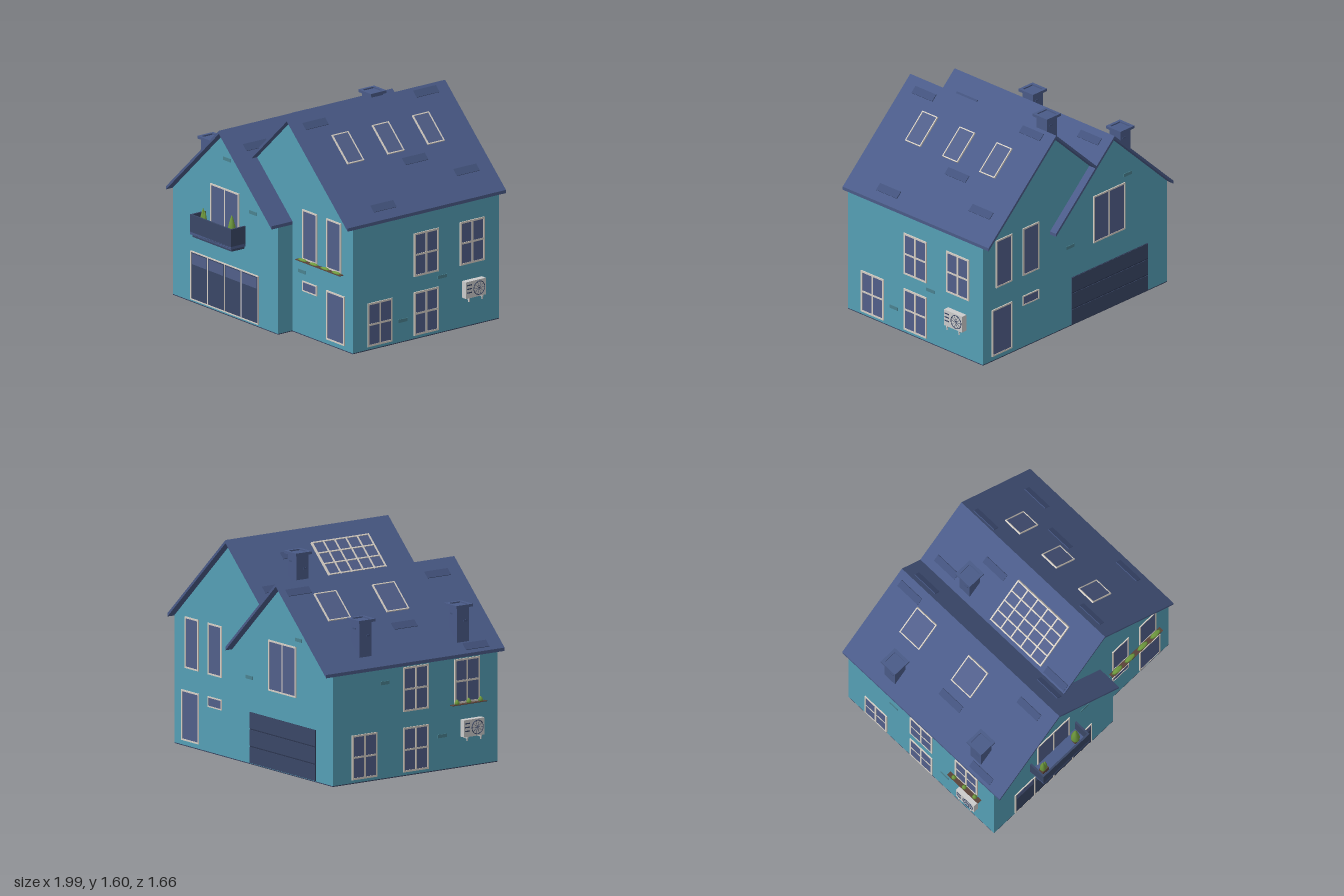
import * as THREE from 'three';

const mat = (color) => new THREE.MeshStandardMaterial({ color });
const M = {
  wall: mat(0x559fb5), brick: mat(0x4a8290), roof: mat(0x4a5b88), tile: mat(0x42527c), dark: mat(0x3a4766),
  glass: mat(0x515f8a), frame: mat(0xd6cfc6), grey: mat(0xcccccc), groove: mat(0x2b3550),
  soil: mat(0x5a4238), leaf: mat(0x6f9a3e), base: mat(0x353f5c),
};
const V = (x, y, z) => new THREE.Vector3(x, y, z);

// Facings: n points outwards, u points to the right when looking at the surface
const FRONT = { n: V(0, 0, 1), u: V(1, 0, 0) };
const BACK = { n: V(0, 0, -1), u: V(-1, 0, 0) };
const RIGHT = { n: V(1, 0, 0), u: V(0, 0, -1) };
const LEFT = { n: V(-1, 0, 0), u: V(0, 0, 1) };

function place(obj, face, x, y, z) {
  const v = face.n.clone().cross(face.u);
  obj.quaternion.setFromRotationMatrix(new THREE.Matrix4().makeBasis(face.u, v, face.n));
  obj.position.set(x, y, z);
  return obj;
}
function group(name, ...children) {
  const g = new THREE.Group();
  g.name = name;
  if (children.length) g.add(...children);
  return g;
}
function mesh(name, geo, material, x = 0, y = 0, z = 0) {
  const m = new THREE.Mesh(geo, material);
  m.name = name;
  m.position.set(x, y, z);
  return m;
}
const box = (name, material, w, h, d, x = 0, y = 0, z = 0) =>
  mesh(name, new THREE.BoxGeometry(w, h, d), material, x, y, z);
function prism(name, points, z0, z1, material) {
  const shape = new THREE.Shape(points.map((p) => new THREE.Vector2(...p)));
  return mesh(name, new THREE.ExtrudeGeometry(shape, { depth: z1 - z0, bevelEnabled: false }), material, 0, 0, z0);
}

// Framed pane divided by bars; centred, facing +z
function windowPane(name, w, h, cols = 1, rows = 1, t = 0.012, d = 0.016) {
  const g = group(name, box('glass', M.glass, w - t, h - t, d * 0.6));
  for (let i = 0; i <= cols; i++) g.add(box('upright', M.frame, t, h, d, -w / 2 + t / 2 + (i * (w - t)) / cols));
  for (let j = 0; j <= rows; j++) g.add(box('rail', M.frame, w, t, d * 0.96, 0, -h / 2 + t / 2 + (j * (h - t)) / rows));
  return g;
}

// Pointed leafy plant standing on y = 0
function plant(r, h) {
  const profile = [[0, 0], [0.7, 0.08], [1, 0.3], [0.75, 0.6], [0.35, 0.85], [0, 1]];
  const geo = new THREE.LatheGeometry(profile.map(([a, b]) => new THREE.Vector2(a * r, b * h)), 7);
  return mesh('plant', geo, M.leaf);
}

// Window box with tapered front, back against z = 0
function planter(w, h, d, leafH, count) {
  const g = group('planter');
  const body = prism('trough', [[0, 0], [d * 0.75, 0], [d, h], [0, h]], -w / 2, w / 2, M.wall);
  body.rotation.y = -Math.PI / 2;
  body.scale.z = -1;
  body.geometry.scale(1, 1, -1);
  // Restore outward winding after the mirror
  const idx = body.geometry.attributes.position;
  const nrm = body.geometry.attributes.normal;
  for (const a of [idx, nrm]) for (let i = 0; i < a.count; i++) a.setZ(i, -a.getZ(i));
  body.scale.z = 1;
  g.add(body, box('soil', M.soil, w * 0.94, 0.004, d * 0.75, 0, h, d * 0.5));
  for (let i = 0; i < count; i++) {
    const p = plant(d * 0.4, leafH);
    p.position.set((((i + 0.5) / count) - 0.5) * w * 0.95, h, d * 0.5);
    if (leafH < 0.03) p.scale.x = 2.6;
    g.add(p);
  }
  return g;
}

// Outdoor cooling unit with grille, fan ring and feet
function coolingUnit() {
  const g = group('coolingUnit', box('casing', M.grey, 0.18, 0.125, 0.045, 0, 0, 0.026));
  const ring = mesh('fanRing', new THREE.TorusGeometry(0.05, 0.003, 6, 28), M.dark, 0.03, 0, 0.049);
  g.add(ring);
  for (let i = 0; i < 5; i++) {
    const blade = box('fanSpoke', M.dark, 0.098, 0.002, 0.003, 0.03, 0, 0.049);
    blade.rotation.z = (i * Math.PI) / 5;
    g.add(blade);
  }
  for (let i = 0; i < 3; i++) g.add(box('slat', M.dark, 0.04, 0.008, 0.004, -0.06, 0.036 - i * 0.028, 0.049));
  for (const x of [-0.06, 0.06]) {
    g.add(box('bracket', M.grey, 0.01, 0.01, 0.052, x, -0.068, 0.026), box('foot', M.grey, 0.008, 0.03, 0.008, x, -0.076, 0.045));
  }
  return g;
}

function chimney(x, top, z) {
  const g = group('chimney', box('shaft', M.roof, 0.105, 0.31, 0.105, 0, -0.165, 0));
  const ring = (s, hole, h) => {
    const sh = new THREE.Shape([[-s, -s], [s, -s], [s, s], [-s, s]].map((p) => new THREE.Vector2(...p)));
    sh.holes.push(new THREE.Path([[-hole, -hole], [-hole, hole], [hole, hole], [hole, -hole]].map((p) => new THREE.Vector2(...p))));
    return new THREE.ExtrudeGeometry(sh, { depth: h, bevelEnabled: false }).rotateX(-Math.PI / 2);
  };
  g.add(mesh('cap', ring(0.072, 0.05, 0.02), M.roof, 0, -0.02, 0));
  g.add(box('looseBrick', M.tile, 0.03, 0.012, 0.112, 0.015, -0.07, 0), box('looseBrick', M.tile, 0.112, 0.012, 0.03, 0, -0.12, 0.02));
  g.position.set(x, top, z);
  return g;
}

export function createModel() {
  const house = group('house');
  const K = 0.938; // roof pitch
  const LOW = { cx: -0.35, top: 1.388 }, TALL = { cx: 0.25, top: 1.603 };
  const roofY = (r, x) => r.top - K * Math.abs(x - r.cx);

  // Walls and floor slab
  house.add(
    prism('lowGableBody', [[-0.95, 0.006], [0.25, 0.006], [0.25, 0.81], [-0.35, 1.37], [-0.95, 0.81]], -0.77, 0.695, M.wall),
    prism('tallGableBody', [[0.25, 0.006], [0.94, 0.006], [0.94, 0.94], [0.25, 1.585], [-0.16, 1.2], [0.25, 0.81]], -0.77, 0.565, M.wall),
    box('floorSlab', M.base, 1.2, 0.006, 1.465, -0.35, 0.003, -0.0375),
    box('floorSlab', M.base, 0.69, 0.006, 1.335, 0.595, 0.003, -0.1025));

  // Roof shells
  const shell = (name, r, x0, x1, z0, z1) => {
    const t = 0.024;
    const a = [x0, roofY(r, x0)], b = [r.cx, r.top], c = [x1, roofY(r, x1)];
    house.add(prism(name, [[a[0], a[1] - t], [b[0], b[1] - t], [c[0], c[1] - t], c, b, a], z0, z1, M.roof));
  };
  shell('lowRoof', LOW, -0.952, 0.252, -0.83, 0.755);
  shell('tallRoof', TALL, -0.164, 0.944, -0.83, 0.615);

  // Put something on a roof slope at plan position x, z
  const onRoof = (obj, r, x, z) => {
    const s = Math.sign(x - r.cx);
    const face = { n: V(s * K, 1, 0).normalize(), u: V(0, 0, -s) };
    house.add(place(obj, face, x, roofY(r, x), z));
  };
  for (const z of [-0.475, -0.108, 0.26]) onRoof(windowPane('skylight', 0.15, 0.25, 1, 1, 0.008, 0.024), TALL, 0.498, z);
  for (const z of [-0.472, 0.045]) onRoof(windowPane('skylight', 0.197, 0.245, 1, 1, 0.008, 0.024), LOW, -0.54, z);
  onRoof(windowPane('solarPanel', 0.51, 0.39, 5, 4, 0.01, 0.034), TALL, 0.008, 0.105);
  const tiles = [
    [TALL, [[0.32, 0.41], [0.29, -0.625], [0.65, -0.235], [0.87, 0.23], [0.78, -0.6], [-0.09, -0.64], [0.1, -0.34], [-0.13, 0.5]]],
    [LOW, [[-0.42, -0.68], [-0.72, 0.035], [-0.44, 0.54], [-0.91, 0.53], [-0.29, -0.64], [-0.22, 0.52]]],
  ];
  for (const [r, spots] of tiles) for (const [x, z] of spots) onRoof(box('raisedTile', M.tile, 0.205, 0.058, 0.012), r, x, z);

  house.add(chimney(-0.826, 1.165, -0.425), chimney(-0.826, 1.165, 0.44), chimney(-0.072, 1.528, -0.425));

  // Openings shared by front and back
  for (const [face, zl, zt] of [[FRONT, 0.695, 0.565], [BACK, -0.77, -0.77]]) {
    house.add(place(windowPane('gableWindow', 0.325, 0.37, 2, 1), face, -0.352, 0.76, zl));
    for (const x of [0.453, 0.728]) house.add(place(windowPane('tallWindow', 0.165, 0.375), face, x, 0.758, zt));
    house.add(place(windowPane('smallWindow', 0.165, 0.077, 1, 1, 0.009), face, 0.453, 0.372, zt));
    house.add(place(windowPane('door', 0.207, 0.368), face, 0.748, 0.224, zt));
  }

  // Front folding doors with top lights
  const folding = windowPane('foldingDoors', 0.775, 0.365, 4, 1, 0.009);
  for (let i = 0; i < 4; i++) {
    folding.add(box('doorLeaf', M.dark, 0.178, 0.345, 0.012, (i - 1.5) * 0.1915));
    folding.add(box('topLight', M.glass, 0.165, 0.08, 0.015, (i - 1.5) * 0.1915, 0.125));
  }
  house.add(place(folding, FRONT, -0.354, 0.202, 0.695));

  // Back garage door
  const garage = group('garageDoor', box('backing', M.groove, 0.78, 0.37, 0.008));
  for (let i = 0; i < 3; i++) garage.add(box('panel', M.dark, 0.78, 0.116, 0.016, 0, (i - 1) * 0.126));
  house.add(place(garage, BACK, -0.358, 0.195, -0.77));

  // Side windows: [z, y]
  for (const [z, y] of [[0.32, 0.19], [-0.103, 0.19], [-0.103, 0.63], [-0.523, 0.63]]) {
    house.add(place(windowPane('sideWindow', 0.225, 0.325, 2, 2, 0.014), RIGHT, 0.94, y, z));
    house.add(place(windowPane('sideWindow', 0.225, 0.325, 2, 2, 0.014), LEFT, -0.95, y, z === -0.103 ? -0.035 : z > 0 ? -0.49 : 0.42));
  }
  house.add(place(coolingUnit(), RIGHT, 0.94, 0.288, -0.52), place(coolingUnit(), LEFT, -0.95, 0.288, 0.45));
  house.add(place(planter(0.54, 0.042, 0.05, 0.018, 4), FRONT, 0.59, 0.526, 0.565));
  house.add(place(planter(0.33, 0.035, 0.048, 0.04, 3), LEFT, -0.95, 0.43, 0.42));

  // Balcony
  const balcony = group('balcony',
    box('floor', M.roof, 0.465, 0.02, 0.135, 0, 0.03, 0.0675),
    box('underside', M.dark, 0.445, 0.022, 0.12, 0, 0.011, 0.06),
    box('frontPanel', M.dark, 0.465, 0.15, 0.014, 0, 0.095, 0.128));
  for (const s of [-1, 1]) balcony.add(box('sidePanel', M.dark, 0.014, 0.15, 0.13, s * 0.2255, 0.095, 0.065));
  for (const [x, y, r, h] of [[-0.17, 0.06, 0.024, 0.16], [-0.15, 0.06, 0.018, 0.15], [0.157, 0.04, 0.034, 0.21]]) {
    const p = plant(r, h);
    p.position.set(x, y, 0.066);
    balcony.add(p, box('pot', M.soil, 0.04, 0.05, 0.04, x, 0.06, 0.066));
  }
  balcony.position.set(-0.352, 0.55, 0.695);
  house.add(balcony);

  // Bare bricks on the walls
  const bricks = [
    [FRONT, -0.33, 1.167, 0.695], [FRONT, -0.035, 0.84, 0.695], [FRONT, 0.36, 0.475, 0.565],
    [BACK, -0.545, 1.0, -0.77], [BACK, 0.045, 0.63, -0.77], [BACK, 0.42, 0.83, -0.77],
    [RIGHT, 0.94, 0.42, -0.25], [RIGHT, 0.94, 0.163, 0.11], [LEFT, -0.95, 0.7, -0.31], [LEFT, -0.95, 0.25, 0.2],
  ];
  for (const [face, x, y, z] of bricks) house.add(place(box('bareBrick', M.brick, 0.08, 0.025, 0.008), face, x, y, z));
  return house;
}
